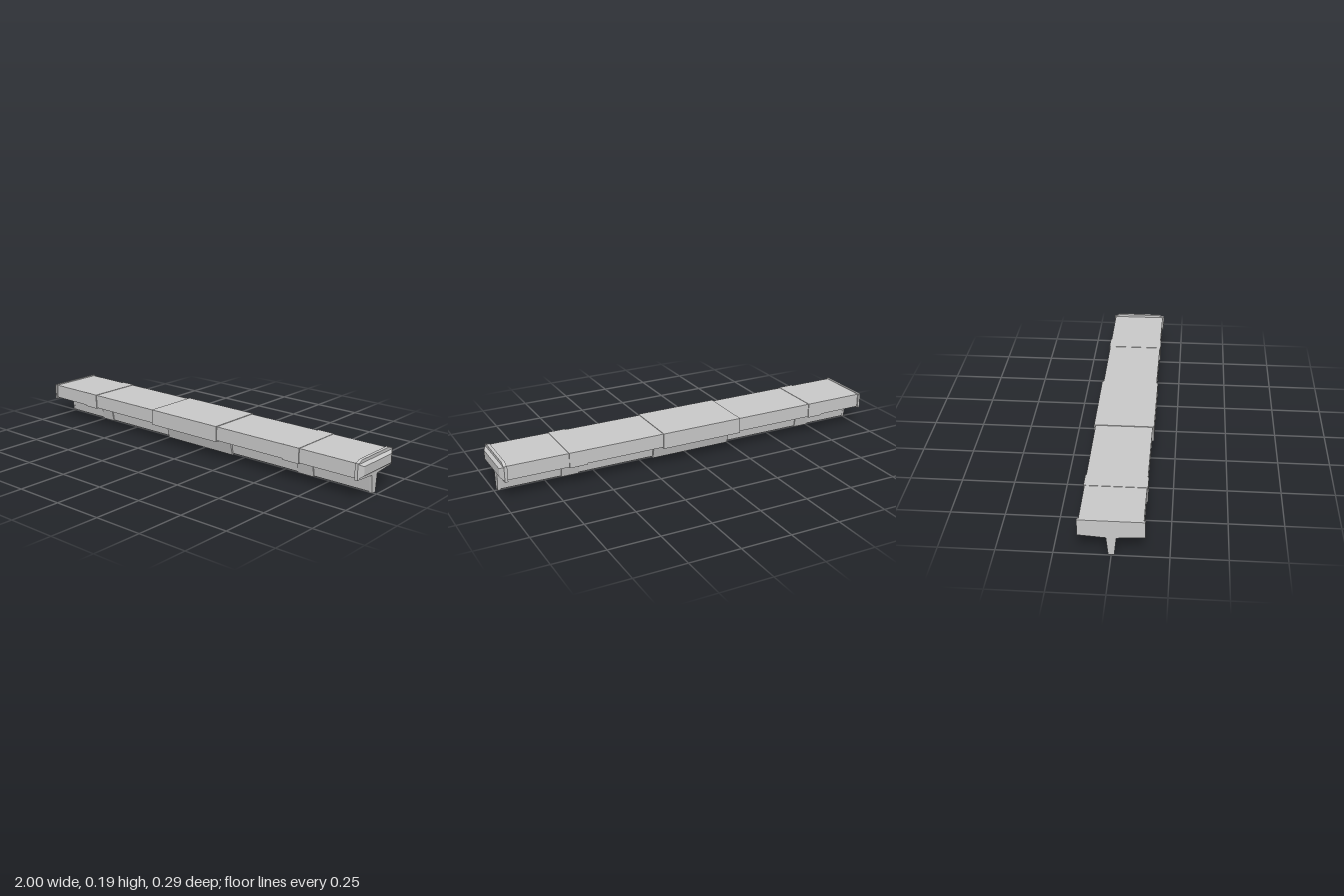
import * as THREE from 'three';

const material = new THREE.MeshStandardMaterial({ color: 0xcccccc, flatShading: true });

// T-shaped cross-sections: half width, top, flange edge, flange root, web half widths, web foot
const profiles = {
  slim: { w: 0.138, top: 0.177, edge: 0.107, root: 0.099, wt: 0.024, wb: 0.012, foot: 0.008 },
  band: { w: 0.142, top: 0.179, edge: 0.103, root: 0.095, wt: 0.032, wb: 0.015, foot: 0.004 },
  wide: { w: 0.145, top: 0.18, edge: 0.101, root: 0.091, wt: 0.039, wb: 0.017, foot: 0 },
  cap: { w: 0.145, top: 0.18, edge: 0.101, root: 0.092, wt: 0.022, wb: 0.013, foot: 0.003 },
};

// Extrude a shape drawn in (z, y) along x
function extrudeX(name, points, x0, x1) {
  const shape = new THREE.Shape(points.map(([z, y]) => new THREE.Vector2(-z, y)));
  const geometry = new THREE.ExtrudeGeometry(shape, { depth: x1 - x0, bevelEnabled: false });
  geometry.rotateY(Math.PI / 2);
  geometry.translate(x0, 0, 0);
  const mesh = new THREE.Mesh(geometry, material);
  mesh.name = name;
  return mesh;
}

function beamSection(name, p, x0, x1) {
  const half = [[p.wb, p.foot], [p.wt, p.root], [p.w, p.edge], [p.w, p.top]];
  const mirrored = half.map(([z, y]) => [-z, y]).reverse();
  return extrudeX(name, [...half, ...mirrored], x0, x1);
}

// Tapered block on the end face
function endBlock() {
  const geometry = new THREE.BoxGeometry(0.016, 0.07, 0.286);
  const pos = geometry.attributes.position;
  for (let i = 0; i < pos.count; i++) {
    if (pos.getX(i) > 0) {
      pos.setY(i, pos.getY(i) * 0.63);
      pos.setZ(i, pos.getZ(i) * 0.8);
    }
  }
  geometry.computeVertexNormals();
  geometry.translate(0.992, 0.14, 0);
  const mesh = new THREE.Mesh(geometry, material);
  mesh.name = 'endBlock';
  return mesh;
}

export function createModel() {
  const group = new THREE.Group();
  group.name = 'beam';

  // Stepped beam, from the right end to the left end
  const sections = [
    ['rightCap', 'cap', -1, -0.988],
    ['rightOuterSpan', 'slim', -0.988, -0.75],
    ['rightBand', 'band', -0.75, -0.67],
    ['rightInnerSpan', 'slim', -0.67, -0.25],
    ['middleSleeve', 'wide', -0.25, 0.18],
    ['leftInnerSpan', 'slim', 0.18, 0.58],
    ['leftBand', 'band', 0.58, 0.67],
    ['leftOuterSpan', 'slim', 0.67, 0.97],
    ['leftCap', 'cap', 0.97, 0.985],
  ];
  for (const [name, kind, x0, x1] of sections) {
    group.add(beamSection(name, profiles[kind], x0, x1));
  }

  // Raised lip and tapered block at the left end
  group.add(extrudeX('endLip', [[0.143, 0.175], [0.115, 0.19], [-0.115, 0.19], [-0.143, 0.175]], 0.97, 0.986));
  group.add(endBlock());
  return group;
}
